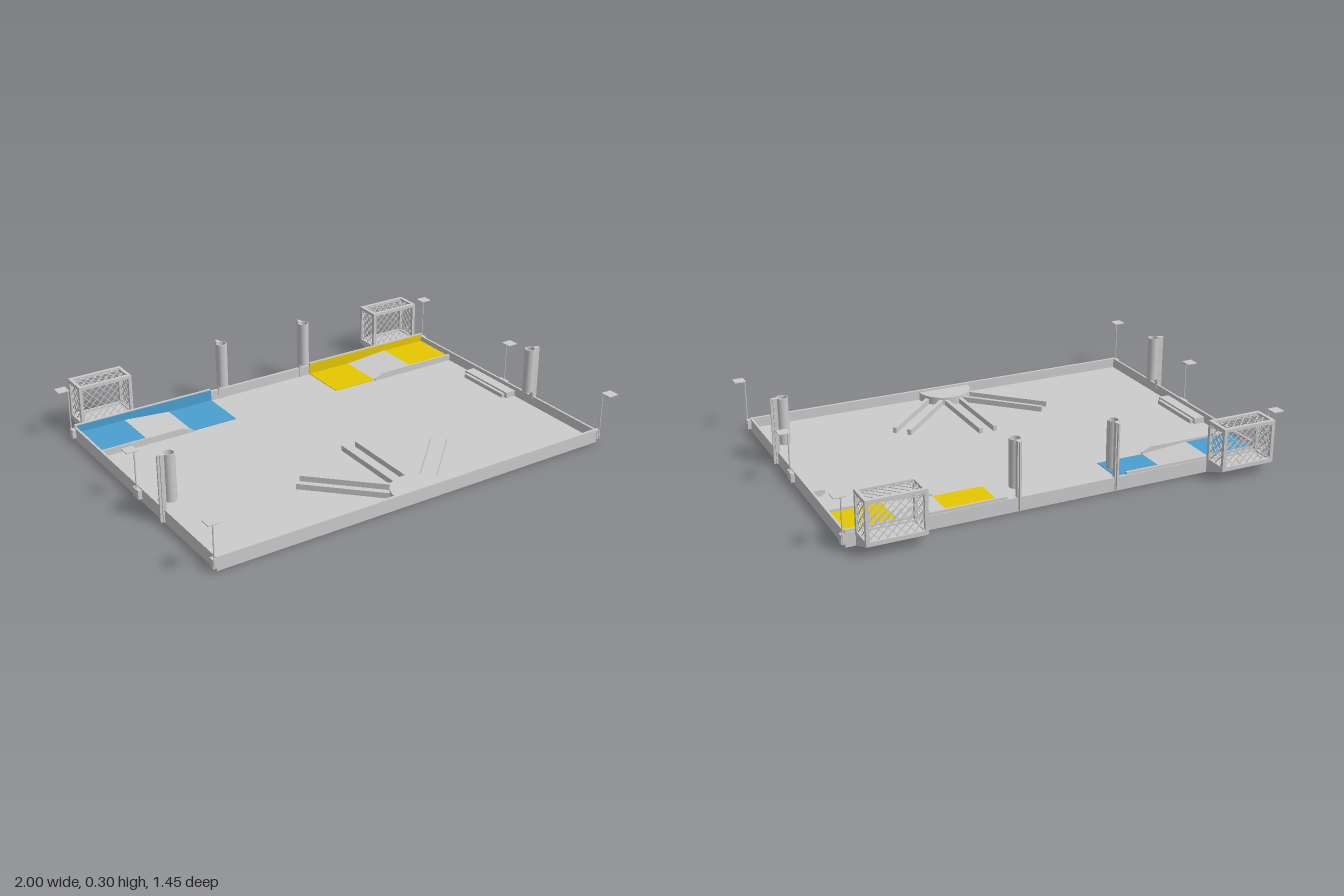
import * as THREE from 'three';

const grey = new THREE.MeshStandardMaterial({ color: 0xcccccc });
const greyDouble = new THREE.MeshStandardMaterial({ color: 0xcccccc, side: THREE.DoubleSide });
const blue = new THREE.MeshStandardMaterial({ color: 0x4a9fd0 });
const yellow = new THREE.MeshStandardMaterial({ color: 0xe6c800 });

const FLOOR = 0.015, WALL = 0.06;

function add(parent, name, geometry, material = grey) {
  const mesh = new THREE.Mesh(geometry, material);
  mesh.name = name;
  parent.add(mesh);
  return mesh;
}

// Box given by its lower and upper limits on each axis (either order)
function box(parent, name, [x0, x1], [y0, y1], [z0, z1], material) {
  const g = new THREE.BoxGeometry(Math.abs(x1 - x0), Math.abs(y1 - y0), Math.abs(z1 - z0));
  g.translate((x0 + x1) / 2, (y0 + y1) / 2, (z0 + z1) / 2);
  return add(parent, name, g, material);
}

// Extruded outline, centred on its depth
function prism(points, depth) {
  const shape = new THREE.Shape(points.map(p => new THREE.Vector2(...p)));
  const g = new THREE.ExtrudeGeometry(shape, { depth, bevelEnabled: false });
  return g.translate(0, 0, -depth / 2);
}

// Diamond netting filling a w by h rectangle, in the xy plane
function netting(name, w, h, pitch = 0.036) {
  const net = new THREE.Group();
  net.name = name;
  const reach = (w + h) / 2;
  for (const dir of [1, -1]) {
    const n = Math.floor(reach / pitch);
    for (let i = -n; i <= n; i++) {
      // strand y = x + c, clipped to the rectangle
      const c = i * pitch;
      const a = Math.max(-w / 2, -h / 2 - c), b = Math.min(w / 2, h / 2 - c);
      if (b - a < 0.004) continue;
      const strand = add(net, 'strand', new THREE.BoxGeometry((b - a) * Math.SQRT2, 0.003, 0.003));
      strand.position.set(dir * (a + b) / 2, (a + b) / 2 + c, 0);
      strand.rotation.z = dir * Math.PI / 4;
    }
  }
  return net;
}

// Netted basket with a sloping chute, centred on x = 0
function basket() {
  const g = new THREE.Group();
  g.name = 'basket';
  const X = 0.125, B = 0.015, y0 = 0.05, y1 = 0.235, zf = -0.605, zb = -0.725;
  for (const s of [-1, 1]) {
    const xs = [s * (X - B), s * X];
    box(g, 'frontPost', xs, [y0, y1], [zf - B, zf]);
    box(g, 'backPost', xs, [y0, y1], [zb, zb + B]);
    for (const y of [y0, y1 - B]) box(g, 'sideRail', xs, [y, y + B], [zb + B, zf - B]);
    const side = netting('sideNet', 0.09, 0.155);
    side.rotation.y = Math.PI / 2;
    side.position.set(s * (X - B / 2), 0.1425, (zf + zb) / 2);
    g.add(side);
  }
  for (const z of [zf - B, zb]) for (const y of [y0, y1 - B])
    box(g, 'crossRail', [-X + B, X - B], [y, y + B], [z, z + B]);

  const back = netting('backNet', 0.22, 0.155);
  back.position.set(0, 0.1425, zb + B / 2);
  const front = netting('lowFrontNet', 0.22, 0.055);
  front.position.set(0, 0.0925, zf - B / 2);
  const top = netting('topNet', 0.22, 0.09);
  top.rotation.x = Math.PI / 2;
  top.position.set(0, y1 - B / 2, (zf + zb) / 2);
  g.add(back, front, top);

  const chute = prism([[zf, 0], [zf, 0.058], [zb + 0.003, 0.058], [zb + 0.003, 0.045]], 2 * X - 0.004);
  add(g, 'chute', chute.rotateY(-Math.PI / 2));
  return g;
}

// Tube on an upright backing post; the post stands behind it on -z
function tubePost() {
  const g = new THREE.Group();
  g.name = 'tubePost';
  const wall = [[0.025, 0.092], [0.025, 0.3], [0.021, 0.3], [0.021, 0.092], [0.025, 0.092]];
  for (let i = 0; i < wall.length - 1; i++) {
    const pair = [wall[i], wall[i + 1]].map(p => new THREE.Vector2(...p));
    add(g, 'tube', new THREE.LatheGeometry(pair, 28), greyDouble);
  }
  box(g, 'post', [-0.009, 0.009], [0.005, 0.3], [-0.042, -0.024]);
  box(g, 'postFin', [-0.004, 0.004], [0.005, 0.3], [-0.052, -0.042]);
  return g;
}

export function createModel() {
  const model = new THREE.Group();
  model.name = 'playingField';

  // Floor and perimeter walls
  box(model, 'floor', [-0.945, 0.945], [0, FLOOR], [-0.605, 0.675]);
  box(model, 'frontWall', [-0.945, 0.945], [0, WALL], [0.662, 0.675]);
  box(model, 'backWall', [-0.945, 0.945], [0, WALL], [-0.605, -0.592]);

  for (const s of [-1, 1]) {
    const color = s < 0 ? blue : yellow;
    box(model, 'sideWall', [s * 0.935, s * 0.945], [0, WALL], [-0.592, 0.662]);

    // Coloured zone: outer platform, ramp, inner floor panel, wall panel
    box(model, 'zonePlatform', [s * 0.71, s * 0.935], [FLOOR, 0.035], [-0.59, -0.362], color);
    box(model, 'zonePanel', [s * 0.27, s * 0.49], [FLOOR, 0.018], [-0.59, -0.362], color);
    box(model, 'zoneWallPanel', [s * 0.27, s * 0.935], [FLOOR, 0.068], [-0.592, -0.589], color);
    box(model, 'zoneWallCap', [s * 0.27, s * 0.945], [WALL, 0.072], [-0.602, -0.592]);
    const ramp = add(model, 'ramp', prism([[s * 0.49, FLOOR], [s * 0.71, FLOOR], [s * 0.71, 0.036], [s * 0.49, 0.018]], 0.228));
    ramp.position.z = -0.476;
    const barrier = add(model, 'zoneBarrier', prism([[s * 0.49, FLOOR], [s * 0.935, FLOOR], [s * 0.935, 0.045], [s * 0.54, 0.045], [s * 0.49, 0.025]], 0.008));
    barrier.position.z = -0.358;

    // Netted goal behind the zone
    const goal = basket();
    goal.position.x = s * 0.78;
    model.add(goal);

    // Tubes on the back wall and on the side wall
    const rear = tubePost();
    rear.position.set(s * 0.22, 0, -0.565);
    const side = tubePost();
    side.position.set(s * 0.91, 0, 0.253);
    side.rotation.y = -s * Math.PI / 2;
    model.add(rear, side);

    // Side shelf with a lip
    box(model, 'sideShelf', [s * 0.885, s * 0.935], [FLOOR, 0.042], [-0.165, 0.14]);
    box(model, 'shelfLip', [s * 0.87, s * 0.885], [FLOOR, 0.034], [-0.15, 0.125]);

    // Slim poles with square plates on top
    for (const [poleZ, plateZ] of [[-0.607, -0.63], [0.037, 0.037], [0.678, 0.701]]) {
      const pole = add(model, 'pole', new THREE.CylinderGeometry(0.003, 0.003, 0.22, 10));
      pole.position.set(s * 0.956, 0.125, poleZ);
      box(model, 'polePlate', [s * 0.95, s], [0.232, 0.236], [plateZ - 0.025, plateZ + 0.025]);
      box(model, 'poleBracket', [s * 0.945, s * 0.962], [0.015, 0.055],
        poleZ === plateZ ? [poleZ - 0.025, poleZ + 0.025] : [poleZ - Math.sign(poleZ) * 0.025, poleZ]);
    }
  }

  // Half-round hub at the front wall
  const hub = add(model, 'hub', new THREE.CylinderGeometry(0.125, 0.125, 0.037, 40, 1, false, Math.PI / 2, Math.PI));
  hub.position.set(0, FLOOR + 0.0185, 0.66);

  // Three pairs of rails fanning out from the hub
  for (const angle of [-Math.PI / 4, 0, Math.PI / 4]) {
    const pair = new THREE.Group();
    pair.name = 'railPair';
    pair.position.z = 0.66;
    pair.rotation.y = angle;
    for (const s of [-1, 1])
      box(pair, 'rail', [s * 0.026, s * 0.044], [FLOOR, 0.04], [-0.505, -0.115]);
    model.add(pair);
  }
  return model;
}
